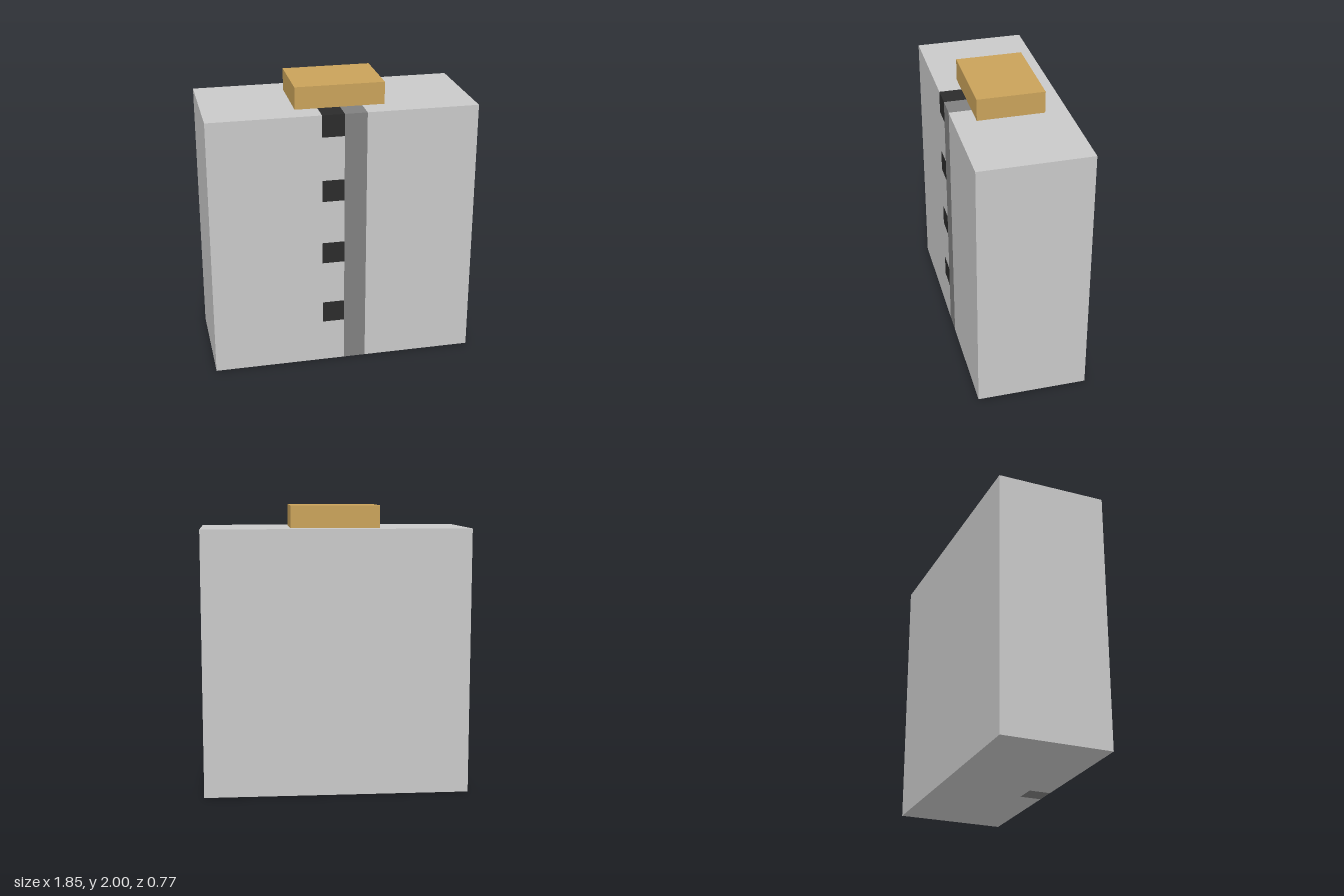
import * as THREE from 'three';

const U = 1 / 13; // one modelling unit; the whole model is 26 units tall

export function createModel() {
  const paint = (name, color) => {
    const m = new THREE.MeshStandardMaterial({ color });
    m.name = name;
    return m;
  };
  const lightGrey = paint('lightGrey', 0xc9c9c9);
  const midGrey = paint('midGrey', 0x808080);
  const charcoal = paint('charcoal', 0x2b2b2b);
  const ochre = paint('ochre', 0xc9a25a);

  const group = new THREE.Group();
  group.name = 'block';

  const add = (name, geometry, material) => {
    const mesh = new THREE.Mesh(geometry, material);
    mesh.name = name;
    group.add(mesh);
  };
  // Box given by its minimum and maximum corners, in units
  const box = (name, material, [x0, y0, z0], [x1, y1, z1]) => {
    const g = new THREE.BoxGeometry((x1 - x0) * U, (y1 - y0) * U, (z1 - z0) * U);
    g.translate((x0 + x1) / 2 * U, (y0 + y1) / 2 * U, (z0 + z1) / 2 * U);
    add(name, g, material);
  };

  // Body: a slab with a full-height groove in the front (shape y is -z)
  const outline = [[-12, -5], [-2, -5], [-2, -3], [2, -3], [2, -5], [12, -5], [12, 5], [-12, 5]];
  const shape = new THREE.Shape(outline.map(([x, y]) => new THREE.Vector2(x * U, y * U)));
  const body = new THREE.ExtrudeGeometry(shape, { depth: 24 * U, bevelEnabled: false });
  body.rotateX(-Math.PI / 2);
  add('body', body, lightGrey);

  // Strip flush in the left half of the groove
  box('strip', midGrey, [0, 0, 3], [2, 24, 5]);

  // Dark teeth beside the strip, with body-coloured fillers between them
  for (let i = 0; i < 4; i++) {
    const y = 6 * i;
    box('filler', lightGrey, [-2, i ? y : 0, 3], [0, y + 4, 5]);
    box('tooth', charcoal, [-2, y + 4, 3], [0, y + 6, 5]);
  }

  // Cap on top
  box('cap', ochre, [-4, 24, -3], [4, 26, 3]);

  return group;
}
